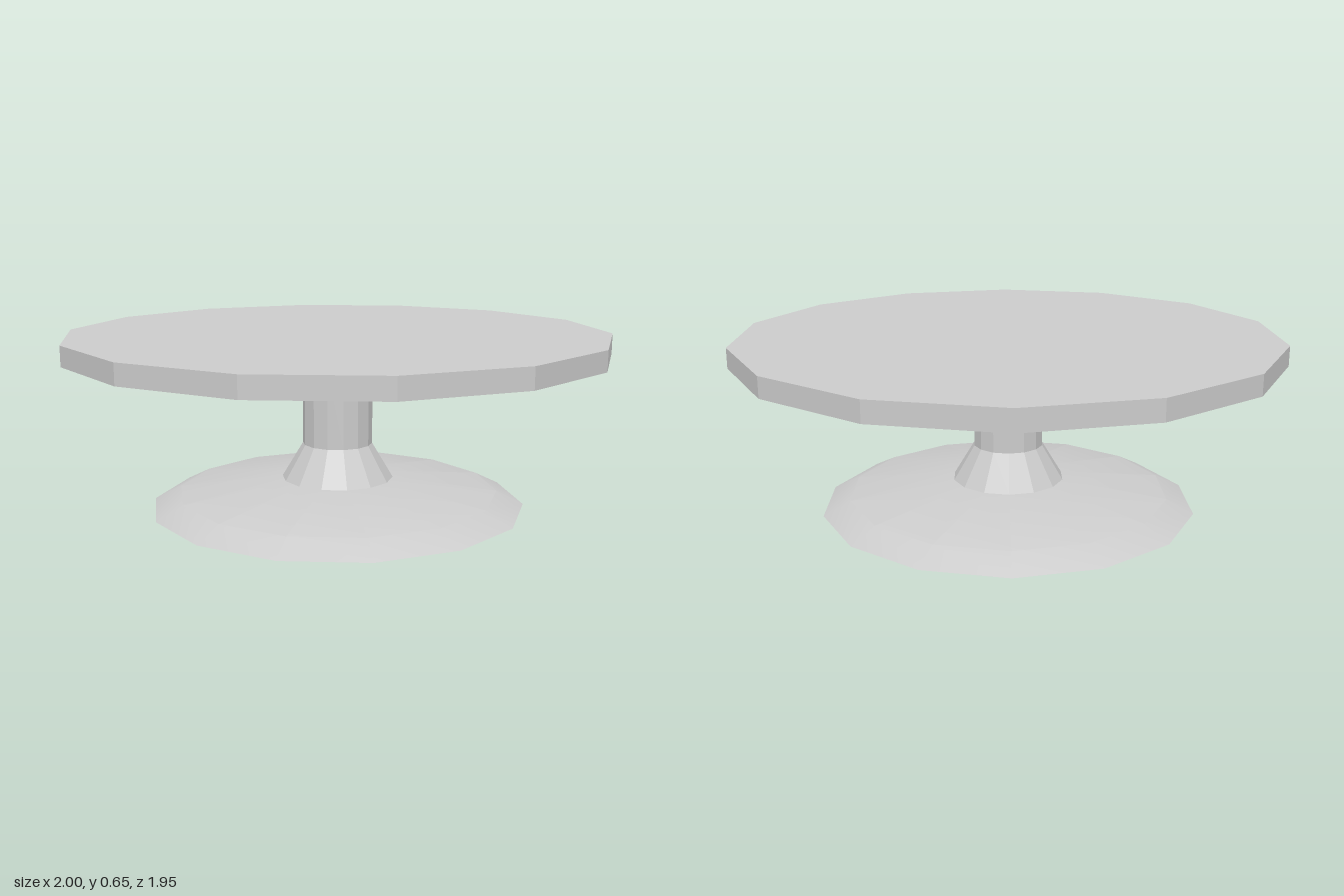
import * as THREE from 'three';
import { toCreasedNormals } from 'three/addons/utils/BufferGeometryUtils.js';

const SIDES = 14;
const material = new THREE.MeshStandardMaterial({ color: 0xcccccc });
const facetedMaterial = new THREE.MeshStandardMaterial({ color: 0xcccccc, flatShading: true });

// Fourteen-sided turned shape with a corner on the x axis; profile runs bottom to top as [radius, y].
function turned(profile) {
  const points = profile.map(([r, y]) => new THREE.Vector2(r, y));
  return new THREE.LatheGeometry(points, SIDES, Math.PI / 2);
}

function addPart(group, name, geometry, mat) {
  const mesh = new THREE.Mesh(geometry, mat);
  mesh.name = name;
  group.add(mesh);
  return mesh;
}

export function createModel() {
  const group = new THREE.Group();
  group.name = 'cakeStand';

  // Wide shallow foot with a softly shaded bevelled rim
  const foot = turned([[0, 0], [0.7, 0], [0.6, 0.05], [0.205, 0.1], [0, 0.1]]);
  addPart(group, 'foot', toCreasedNormals(foot, THREE.MathUtils.degToRad(20)), material);

  // Column flaring out at both ends
  const stem = turned([[0.21, 0.097], [0.13, 0.23], [0.13, 0.52], [0.17, 0.58]]);
  addPart(group, 'stem', stem, facetedMaterial);

  // Flat round plate
  const plate = new THREE.CylinderGeometry(1, 1, 0.073, SIDES, 1, false, Math.PI / 2);
  addPart(group, 'plate', plate, facetedMaterial).position.y = 0.6125;

  return group;
}
